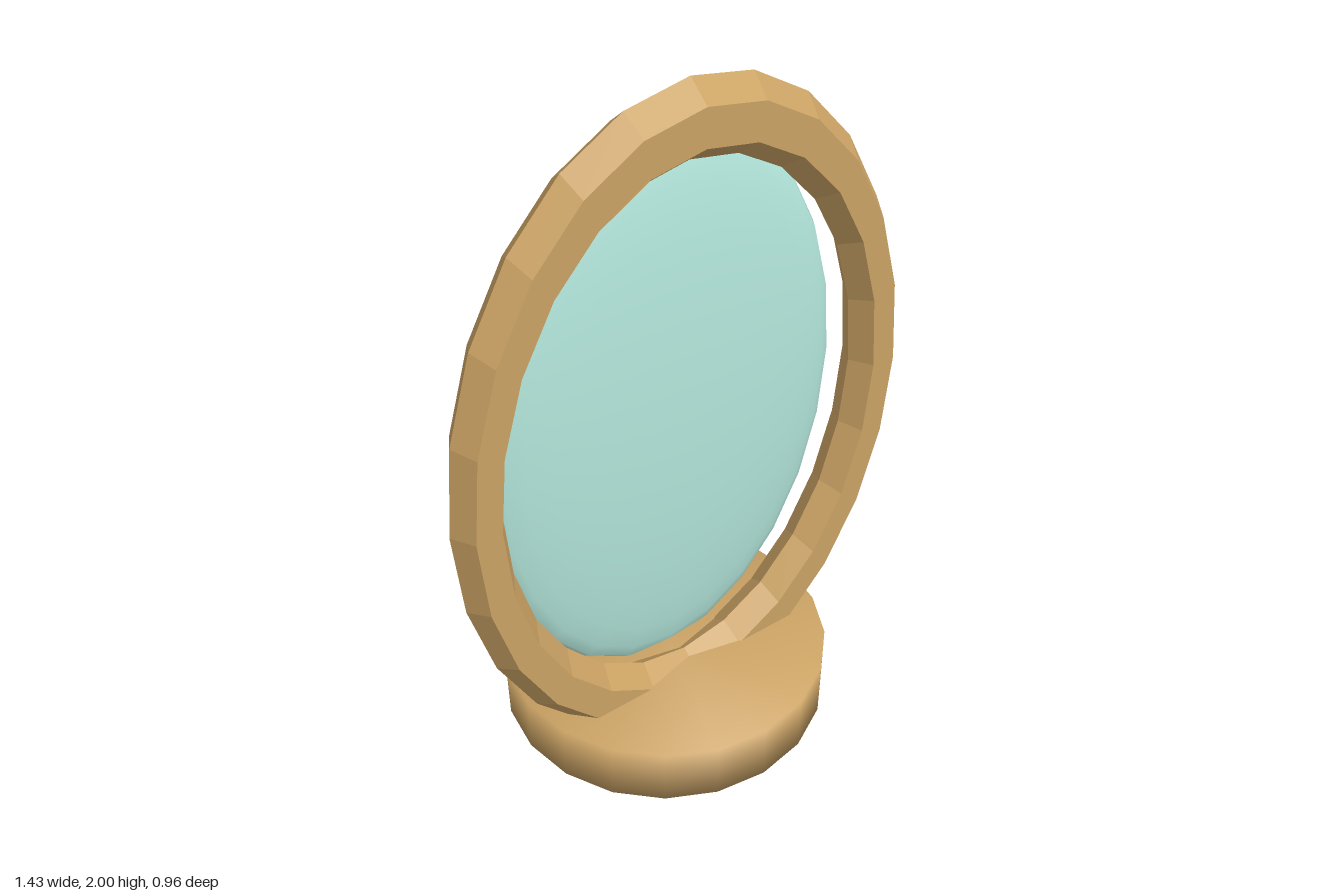
import * as THREE from 'three';
import { mergeVertices } from 'three/addons/utils/BufferGeometryUtils.js';

// Weld all corners so shading flows softly over the edges
function soften(geometry) {
  geometry.deleteAttribute('normal');
  geometry.deleteAttribute('uv');
  const welded = mergeVertices(geometry, 1e-4);
  welded.computeVertexNormals();
  return welded;
}

export function createModel() {
  const group = new THREE.Group();
  group.name = 'standingMirror';
  const wood = new THREE.MeshStandardMaterial({ color: 0xcaa264 });
  const facetedWood = new THREE.MeshStandardMaterial({ color: 0xcaa264, flatShading: true });
  const glass = new THREE.MeshStandardMaterial({ color: 0xb2e5da });

  const add = (name, geometry, material, y, z = 0) => {
    const mesh = new THREE.Mesh(geometry, material);
    mesh.name = name;
    mesh.position.set(0, y, z);
    group.add(mesh);
  };

  // Round foot
  add('base', soften(new THREE.CylinderGeometry(0.478, 0.478, 0.175, 20)), wood, 0.1025);

  // Oval ring with a six-sided section
  const ring = new THREE.TorusGeometry(0.64, 0.0743, 6, 24);
  ring.scale(1, 1.4, 1);
  add('frame', ring, facetedWood, 1, 0.1);

  // Thin lens-shaped glass just behind the ring, poles facing front and back
  const lens = new THREE.SphereGeometry(1, 24, 16);
  lens.rotateX(Math.PI / 2);
  lens.scale(0.567, 0.85, 0.1);
  add('mirrorGlass', lens, glass, 1);

  return group;
}
